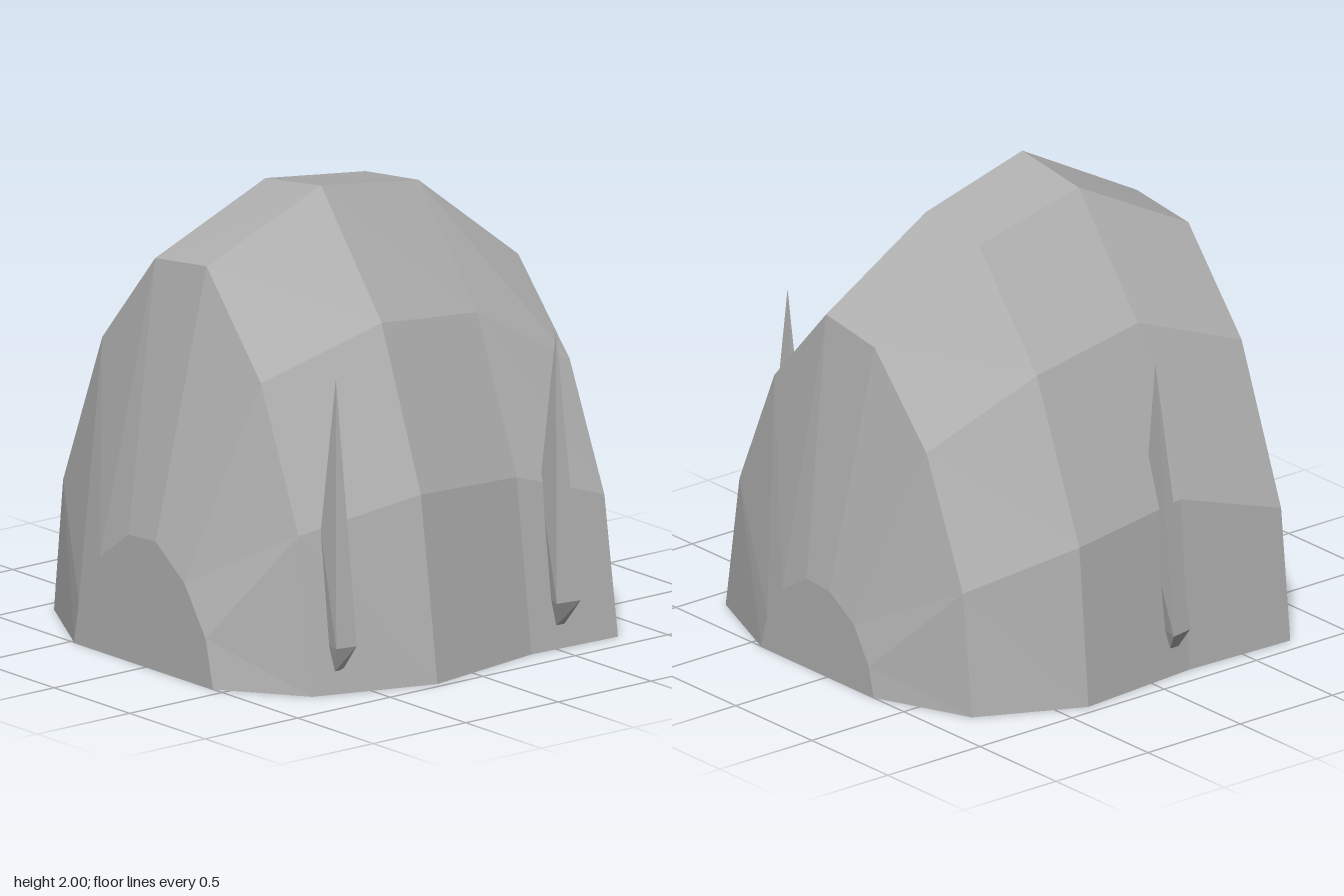
import * as THREE from 'three';
import { ConvexGeometry } from 'three/addons/geometries/ConvexGeometry.js';

const stone = new THREE.MeshStandardMaterial({ color: 0xb0b0b0, flatShading: true });
stone.name = 'stone grey';

// Arched cross-sections from front to back: z, then x and y from one foot over the top to the other
const SECTIONS = [
  { z: 1.0, x: [-0.48, -0.45, -0.31, -0.12, 0.06, 0.25, 0.39, 0.44], y: [0, 0.18, 0.41, 0.55, 0.56, 0.42, 0.21, 0] },
  { z: 0.75, x: [-0.92, -0.86, -0.6, -0.25, 0.09, 0.45, 0.7, 0.79], y: [0, 0.58, 1.26, 1.68, 1.72, 1.29, 0.68, 0] },
  { z: 0.22, x: [-0.9, -0.84, -0.56, -0.17, 0.2, 0.6, 0.86, 0.97], y: [0, 0.75, 1.46, 1.95, 2.0, 1.49, 0.8, 0] },
  { z: -0.37, x: [-0.95, -0.89, -0.61, -0.23, 0.12, 0.51, 0.77, 0.87], y: [0, 0.7, 1.39, 1.86, 1.9, 1.41, 0.75, 0] },
  { z: -0.82, x: [-0.73, -0.67, -0.43, -0.09, 0.23, 0.57, 0.8, 0.89], y: [0, 0.54, 1.1, 1.47, 1.52, 1.14, 0.6, 0] },
  { z: -1.0, x: [-0.3, -0.27, -0.17, -0.01, 0.14, 0.3, 0.4, 0.44], y: [0, 0.13, 0.29, 0.39, 0.4, 0.3, 0.15, 0] },
];

function moundGeometry() {
  const pos = [];
  const rings = SECTIONS.map(s => s.x.map((x, i) => [x, s.y[i], s.z]));
  const tri = (a, b, c) => pos.push(...a, ...b, ...c);
  const quad = (a, b, c, d) => { tri(a, b, c); tri(a, c, d); };
  const last = rings[0].length - 1;

  // Arched shell and the floor under it
  for (let k = 0; k < rings.length - 1; k++) {
    const p = rings[k], q = rings[k + 1];
    for (let i = 0; i < last; i++) quad(p[i], p[i + 1], q[i + 1], q[i]);
    quad(p[0], q[0], q[last], p[last]);
  }
  // Flat end faces
  const front = rings[0], back = rings[rings.length - 1];
  for (let i = 1; i < last; i++) {
    tri(front[0], front[i + 1], front[i]);
    tri(back[0], back[i], back[i + 1]);
  }
  const g = new THREE.BufferGeometry();
  g.setAttribute('position', new THREE.Float32BufferAttribute(pos, 3));
  g.computeVertexNormals();
  return g;
}

// Shard leaning on the side: sharp top, wide outer heel, inner bulge, narrow foot
function spikeGeometry({ z, top, outer, bulge, heel, foot, footY, width, skew }) {
  const v = (x, y, dz) => new THREE.Vector3(x, y, z + dz);
  const pts = [v(top, 1.37, 0)];
  for (const s of [-1, 1]) {
    pts.push(
      v(outer - s * skew, 0.21, s * width),
      v(bulge, 0.69, s * 0.025),
      v(heel, 0.21, s * 0.03),
      v(foot, footY, s * 0.022),
    );
  }
  return new ConvexGeometry(pts);
}

const SPIKES = {
  frontLeftSpike: { z: 0.63, top: 0.8, outer: 0.87, bulge: 0.73, heel: 0.79, foot: 0.82, footY: 0.1, width: 0.047, skew: 0.01 },
  backLeftSpike: { z: -0.53, top: 0.835, outer: 0.92, bulge: 0.76, heel: 0.83, foot: 0.865, footY: 0.1, width: 0.057, skew: 0.01 },
  rightSpike: { z: 0.125, top: -0.79, outer: -0.965, bulge: -0.745, heel: -0.89, foot: -0.915, footY: 0.13, width: 0.053, skew: -0.01 },
};

export function createModel() {
  const model = new THREE.Group();
  model.name = 'rockMound';
  const add = (name, geometry) => {
    const mesh = new THREE.Mesh(geometry, stone);
    mesh.name = name;
    model.add(mesh);
  };
  add('mound', moundGeometry());
  for (const [name, spec] of Object.entries(SPIKES)) add(name, spikeGeometry(spec));
  return model;
}
